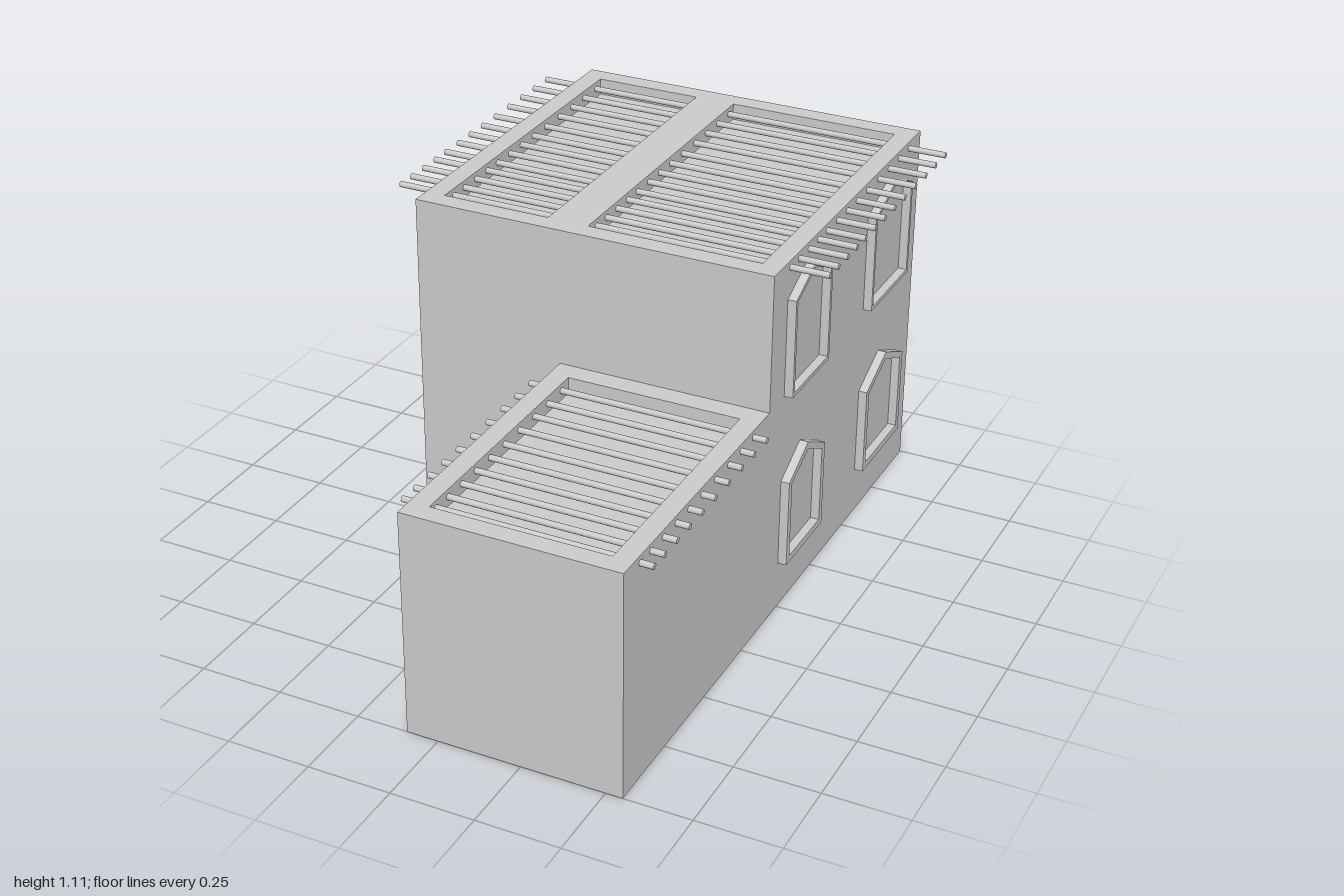
import * as THREE from 'three';

const material = new THREE.MeshStandardMaterial({ color: 0xcccccc });

function add(parent, geometry, name, x = 0, y = 0, z = 0) {
  const mesh = new THREE.Mesh(geometry, material);
  mesh.name = name;
  mesh.position.set(x, y, z);
  parent.add(mesh);
  return mesh;
}

function outline(Type, points) {
  return new Type(points.map(([x, y]) => new THREE.Vector2(x, y)));
}

const rect = (x0, x1, z0, z1) => [[x0, -z0], [x0, -z1], [x1, -z1], [x1, -z0]];

// Block with walls around sunken roof wells; areas are [x0, x1, z0, z1]
function block(name, area, height, wells, depth = 0.05) {
  const group = new THREE.Group();
  group.name = name;
  const shape = outline(THREE.Shape, rect(...area));
  shape.holes = wells.map((w) => outline(THREE.Path, rect(...w).reverse()));
  const walls = new THREE.ExtrudeGeometry(shape, { depth: height, bevelEnabled: false });
  walls.rotateX(-Math.PI / 2);
  add(group, walls, 'walls');
  for (const [x0, x1, z0, z1] of wells) {
    const h = height - depth;
    add(group, new THREE.BoxGeometry(x1 - x0, h, z1 - z0), 'roofFloor', (x0 + x1) / 2, h / 2, (z0 + z1) / 2);
  }
  return group;
}

// Round roof poles running across the block
function poles(name, x0, x1, y, zs) {
  const group = new THREE.Group();
  group.name = name;
  const geometry = new THREE.CylinderGeometry(0.009, 0.009, x1 - x0, 12);
  geometry.rotateZ(Math.PI / 2);
  for (const z of zs) add(group, geometry, 'roofPole', (x0 + x1) / 2, y, z);
  return group;
}

// Pointed frame standing out from a side wall; side is +1 or -1
function frame(parent, name, side, wallX, z0, z1, bottom, shoulder, apex, width, depth) {
  const half = (z1 - z0) / 2;
  const house = (w, b, s, a) => [[-w, b], [w, b], [w, s], [0, a], [-w, s]];
  const shape = outline(THREE.Shape, house(half, bottom, shoulder, apex));
  shape.holes.push(outline(THREE.Path,
    house(half - width, bottom + width, shoulder - width * 0.5, apex - width * 1.15).reverse()));
  const geometry = new THREE.ExtrudeGeometry(shape, { depth, bevelEnabled: false });
  geometry.rotateY(side * Math.PI / 2);
  add(parent, geometry, name, wallX, 0, (z0 + z1) / 2);
}

export function createModel() {
  const model = new THREE.Group();
  model.name = 'house';

  // Tall rear block and low front wing
  model.add(block('mainBlock', [-0.55, 0.55, -1, 0.1], 1.105,
    [[-0.49, -0.16, -0.94, 0.04], [-0.035, 0.49, -0.94, 0.04]]));
  model.add(block('frontWing', [-0.095, 0.55, 0.1, 1], 0.69, [[-0.035, 0.49, 0.165, 0.94]]));

  // Roof poles
  model.add(poles('mainPoles', -0.665, 0.665, 1.084,
    [-0.907, -0.825, -0.743, -0.66, -0.573, -0.493, -0.418, -0.345, -0.27, -0.207, -0.14, -0.073, -0.012]));
  model.add(poles('wingPoles', -0.135, 0.59, 0.669,
    [0.207, 0.29, 0.37, 0.455, 0.54, 0.62, 0.697, 0.772, 0.845, 0.907]));

  // Window frames on both sides, two per storey
  const windows = new THREE.Group();
  windows.name = 'windows';
  for (const side of [1, -1]) {
    for (const [z0, z1] of [[-0.262, 0], [-0.887, -0.59]]) {
      frame(windows, 'upperWindowFrame', side, side * 0.55, z0, z1, 0.693, 0.992, 1.052, 0.012, 0.026);
      frame(windows, 'lowerWindowFrame', side, side * 0.55, z0, z1, 0.148, 0.42, 0.488, 0.021, 0.026);
    }
  }
  model.add(windows);

  // Door frame on the wing's inner side
  frame(model, 'doorFrame', -1, -0.095, 0.53, 0.77, 0, 0.44, 0.517, 0.02, 0.029);

  return model;
}
